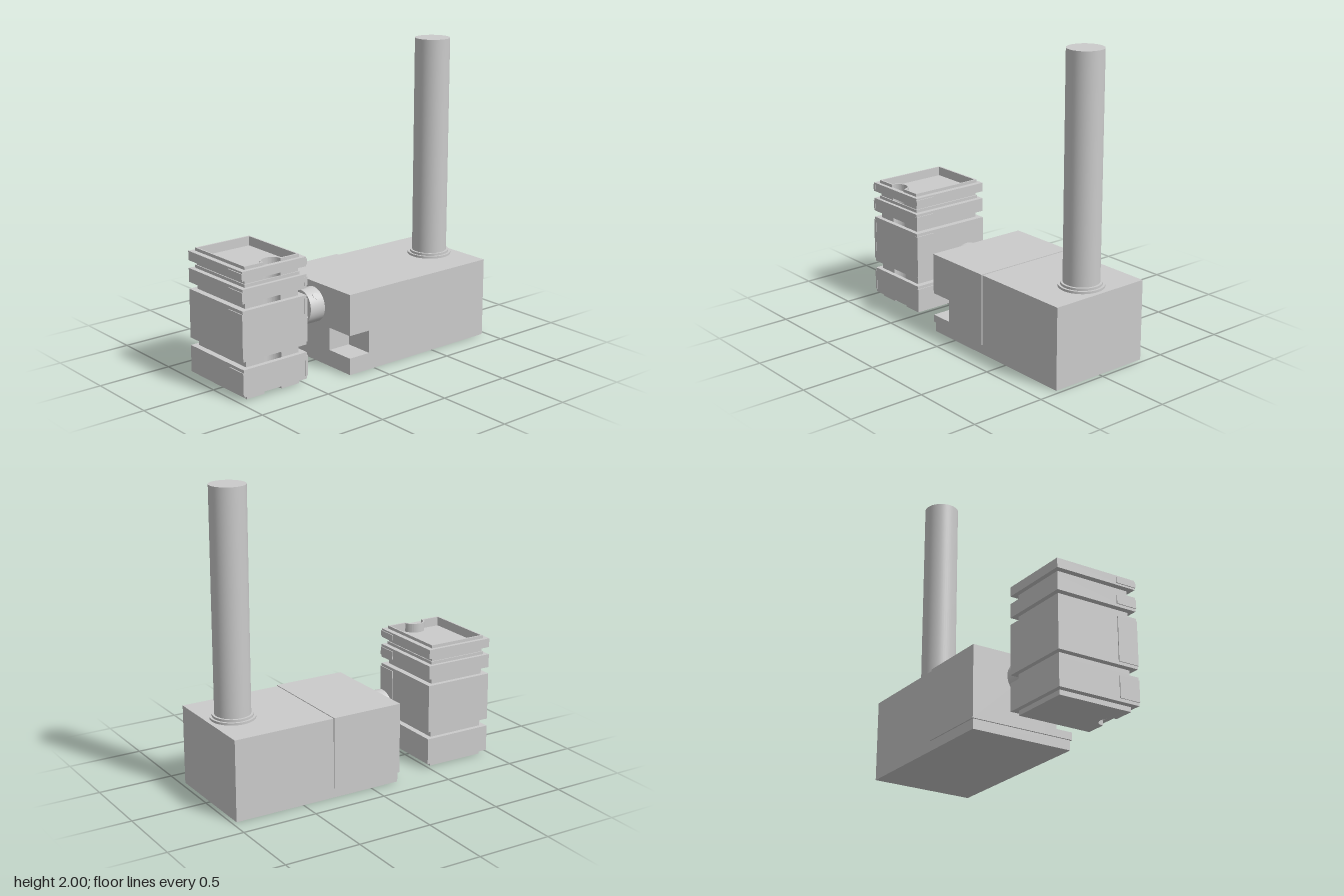
import * as THREE from 'three';
import { toCreasedNormals } from 'three/addons/utils/BufferGeometryUtils.js';

const mat = new THREE.MeshStandardMaterial({ color: 0xcccccc });

function add(parent, name, geo) {
  const mesh = new THREE.Mesh(geo, mat);
  mesh.name = name;
  parent.add(mesh);
  return mesh;
}

// box given by its limits on each axis
function span(x0, x1, y0, y1, z0, z1) {
  return new THREE.BoxGeometry(x1 - x0, y1 - y0, z1 - z0)
    .translate((x0 + x1) / 2, (y0 + y1) / 2, (z0 + z1) / 2);
}

// floor-plan shape (shape y = -z) raised from y0 to y1
function raise(shape, y0, y1) {
  const geo = new THREE.ExtrudeGeometry(shape, { depth: y1 - y0, bevelEnabled: false, curveSegments: 20 });
  return toCreasedNormals(geo.rotateX(-Math.PI / 2).translate(0, y0, 0), 0.6);
}

function rect(Type, hx, hz) {
  return new Type([[-hx, -hz], [hx, -hz], [hx, hz], [-hx, hz]].map(p => new THREE.Vector2(...p)));
}

// rectangle with a half-round groove in its front edge
function grooved(Type, hx, hz, r, centre) {
  const s = new Type();
  const a = Math.asin((centre + hz) / r * -1);
  const dx = r * Math.cos(a);
  s.moveTo(-hx, -hz);
  s.lineTo(-dx, -hz);
  s.absarc(0, centre, r, Math.PI - a, a, true);
  s.lineTo(hx, -hz);
  s.lineTo(hx, hz);
  s.lineTo(-hx, hz);
  s.closePath();
  return s;
}

function createContainer() {
  const g = new THREE.Group();
  g.name = 'container';
  g.position.x = -0.73;

  // grooved core with a shallow tray on top
  add(g, 'core', raise(grooved(THREE.Shape, 0.2, 0.25, 0.065, -0.25), 0, 0.78));
  const rim = grooved(THREE.Shape, 0.205, 0.255, 0.065, -0.255);
  rim.holes.push(grooved(THREE.Path, 0.195, 0.243, 0.075, -0.255));
  add(g, 'trayRim', raise(rim, 0.78, 0.84));

  // bands round the core, with thin cheeks on the sides
  for (const [y0, y1] of [[0.03, 0.205], [0.255, 0.575], [0.62, 0.71], [0.76, 0.82]]) {
    const band = rect(THREE.Shape, 0.24, 0.28);
    band.holes.push(rect(THREE.Path, 0.199, 0.249));
    add(g, 'band', raise(band, y0, y1));
    const inset = Math.min(0.02, (y1 - y0) * 0.2);
    for (const s of [-1, 1]) {
      const cheek = add(g, 'sideCheek', new THREE.BoxGeometry(0.02, y1 - y0 - 2 * inset, 0.14));
      cheek.position.set(s * 0.236, (y0 + y1) / 2, 0.212);
    }
  }
  // thin ledge under the top band
  const ledge = rect(THREE.Shape, 0.207, 0.257);
  ledge.holes.push(rect(THREE.Path, 0.199, 0.249));
  add(g, 'ledge', raise(ledge, 0.71, 0.73));
  return g;
}

function createNozzle() {
  const g = new THREE.Group();
  g.name = 'nozzle';
  g.position.set(-0.2, 0.385, 0);
  const profile = [[0.115, 0], [0.115, 0.125], [0.1, 0.125], [0.1, 0.03], [0, 0.03]]
    .map(p => new THREE.Vector2(...p));
  const tube = new THREE.LatheGeometry(profile, 48).rotateZ(Math.PI / 2);
  // slant the open end
  const pos = tube.attributes.position;
  for (let i = 0; i < pos.count; i++) {
    if (pos.getX(i) < -0.1) pos.setX(i, pos.getX(i) + 0.09 * pos.getY(i));
  }
  add(g, 'nozzleTube', toCreasedNormals(tube, 0.6));
  const pin = add(g, 'nozzlePort', new THREE.CylinderGeometry(0.022, 0.022, 0.01, 20));
  pin.position.set(-0.057, 0.079, 0.079);
  pin.rotation.x = Math.PI / 4;
  return g;
}

function createMachine() {
  const g = new THREE.Group();
  g.name = 'machine';
  add(g, 'casing', span(0.26, 0.97, 0, 0.53, -0.352, 0.352));
  add(g, 'foot', span(-0.2, 0.27, 0, 0.075, -0.352, 0.352));

  // sleeve over the end, its front part cut by a side notch
  add(g, 'sleeveBack', span(-0.21, 0.28, 0.065, 0.535, -0.36, 0.16));
  const panel = new THREE.Shape([
    [-0.21, 0.065], [0.28, 0.065], [0.28, 0.535], [-0.21, 0.535],
    [-0.21, 0.265], [-0.05, 0.265], [-0.05, 0.115], [-0.21, 0.115],
  ].map(p => new THREE.Vector2(...p)));
  add(g, 'sleeveFront', new THREE.ExtrudeGeometry(panel, { depth: 0.2, bevelEnabled: false }).translate(0, 0, 0.16));

  // pipe with a stepped collar
  for (const [name, r, y0, y1] of [
    ['collarLower', 0.145, 0.52, 0.545], ['collarUpper', 0.13, 0.52, 0.56], ['pipe', 0.115, 0.52, 2],
  ]) {
    add(g, name, new THREE.CylinderGeometry(r, r, y1 - y0, 48)).position.set(0.797, (y0 + y1) / 2, 0);
  }
  g.add(createNozzle());
  return g;
}

export function createModel() {
  const model = new THREE.Group();
  model.name = 'model';
  model.add(createContainer(), createMachine());
  return model;
}
